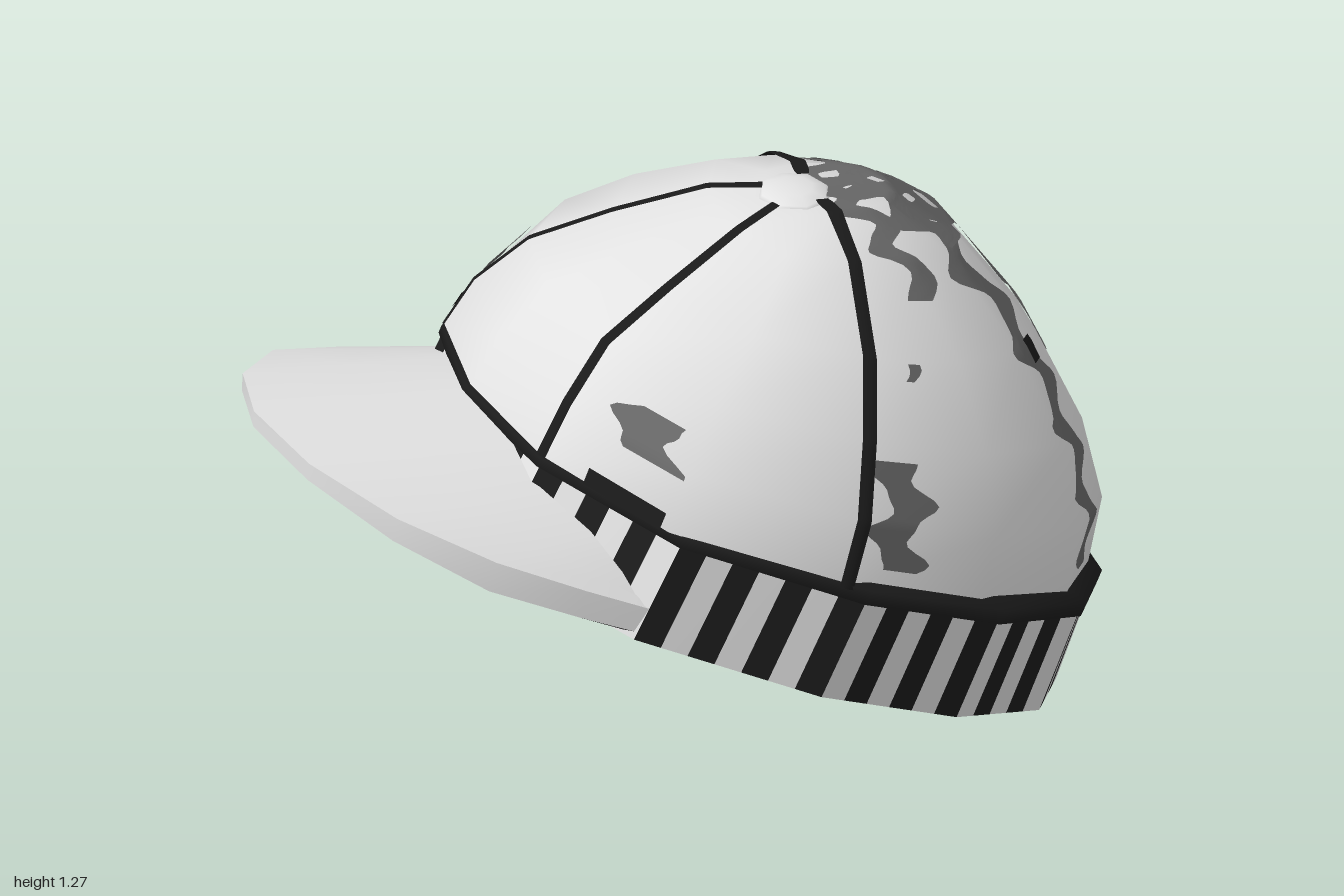
import * as THREE from 'three';
import { mergeVertices, mergeGeometries } from 'three/addons/utils/BufferGeometryUtils.js';

const mat = (name, color, side = THREE.FrontSide) => {
  const m = new THREE.MeshStandardMaterial({ color, side });
  m.name = name;
  return m;
};

// Surface from f(i, j) -> [x, y, z]; outward is (j direction) x (i direction)
function grid(nu, nv, f) {
  const pos = [], idx = [];
  for (let i = 0; i <= nu; i++) for (let j = 0; j <= nv; j++) pos.push(...f(i, j));
  for (let i = 0; i < nu; i++) for (let j = 0; j < nv; j++) {
    const a = i * (nv + 1) + j, b = a + nv + 1;
    idx.push(a, a + 1, b, b, a + 1, b + 1);
  }
  let g = new THREE.BufferGeometry();
  g.setAttribute('position', new THREE.Float32BufferAttribute(pos, 3));
  g.setIndex(idx);
  g = mergeVertices(g, 1e-5);
  g.computeVertexNormals();
  return g;
}

const lerp = THREE.MathUtils.lerp;

// Half outline of the head opening, back (0) to front (7), mirrored for 7..14
const HALF = [[1, 0], [0.99, 0.36], [0.83, 0.67], [0.48, 0.9], [0, 1], [-0.58, 0.88], [-0.91, 0.47], [-1, 0]];
const EDGE = [0.257, 0.25, 0.31, 0.38, 0.47, 0.38, 0.35];
const corner = (n) => {
  const k = ((n % 14) + 14) % 14;
  return k <= 7 ? HALF[k] : [HALF[14 - k][0], -HALF[14 - k][1]];
};
function outline(k) {
  const n = Math.floor(k), f = k - n, a = corner(n), b = corner(n + 1);
  return [lerp(a[0], b[0], f), lerp(a[1], b[1], f)];
}

// Crown rings: back x, back y, front x, front y, half width
const RINGS = [
  [0.77, 0.63, -0.785, 0.63, 0.712],
  [0.739, 0.81, -0.765, 0.76, 0.675],
  [0.623, 0.978, -0.698, 0.908, 0.595],
  [0.44, 1.149, -0.55, 1.045, 0.468],
  [0.2, 1.297, -0.373, 1.19, 0.28],
  [0.013, 1.345, -0.27, 1.245, 0.13],
  [-0.17, 1.287, -0.17, 1.287, 0],
];

// Point of one crown corner; side corners sit a little forward, the front panel narrows upwards
function crownCorner(k, j) {
  const [bx, by, fx, fy, w] = RINGS[j], [c, s] = corner(k), f = (c + 1) / 2;
  const narrow = c < -0.8 ? 1 - 0.06 * Math.max(0, j - 1) : 1;
  return new THREE.Vector3(lerp(fx, bx, f) - 0.05 * s * s * Math.min(1, w * 4), lerp(fy, by, f), w * s * narrow);
}
function crownAt(k, t, off = 0) {
  const n = Math.floor(k), m = Math.min(5, Math.floor(t));
  const row = (j) => crownCorner(n, j).lerp(crownCorner(n + 1, j), k - n);
  const p = row(m).lerp(row(m + 1), t - m);
  const dir = new THREE.Vector3(p.x / 0.6, (p.y - 0.6) / 0.55, p.z / 0.52).normalize();
  return p.addScaledVector(dir, off).toArray();
}
const widthAt = (t) => {
  const m = Math.min(5, Math.floor(t));
  return lerp(RINGS[m][4], RINGS[m + 1][4], t - m);
};

// Thin painted strip running up the crown, optionally wavy
function strip(k0, t0, t1, halfWidth, wave, off) {
  const steps = Math.max(2, Math.round((t1 - t0) * 14));
  const ak = Math.abs(k0);
  return grid(4, steps, (i, j) => {
    const t = lerp(t0, t1, j / steps);
    const unit = EDGE[Math.min(6, Math.floor(ak))] * Math.max(0.12, widthAt(t) / 0.715);
    const sway = wave * Math.sin(t * 7.8 + ak * 2);
    const width = halfWidth * (wave ? 0.9 + 0.2 * Math.sin(t * 15.6) : 1);
    const d = Math.max(-1, Math.min(1, (sway + width * (i / 2 - 1)) / unit));
    return crownAt(k0 + d, t, off);
  });
}

export function createModel() {
  const white = mat('white cloth', 0xe3e3e3);
  const black = mat('black cloth', 0x1c1c1c);
  const grey = mat('grey print', 0x686868, THREE.DoubleSide);
  const seamBlack = mat('black print', 0x1a1a1a, THREE.DoubleSide);
  const under = mat('dark underside', 0x111111, THREE.DoubleSide);

  const cap = new THREE.Group();
  cap.name = 'cap';
  const add = (name, geo, m) => {
    const mesh = new THREE.Mesh(geo, m);
    mesh.name = name;
    cap.add(mesh);
    return mesh;
  };

  // Crown
  add('crown', grid(14, 6, (i, j) => crownAt(i, j)), white);

  // Panel seams, wavy print and dark patches: [position, start, end, half width]
  const prints = [
    [1.68, 0.35, 5.9, 0.042], [3.72, 0.35, 1.8, 0.06], [3.65, 2.75, 2.95, 0.015],
    [3.1, 3.6, 5.9, 0.042], [1, 4, 5.9, 0.055], [5.36, 0.85, 1.5, 0.085],
  ];
  add('backPrint', strip(0, 0.25, 5.9, 0.042, 0.032, 0.007), grey);
  for (const s of [1, -1]) {
    add('sideSeam', strip(4 * s, 0, 5.5, 0.02, 0, 0.009), seamBlack);
    add('frontSeam', strip(6 * s, 0, 5.2, 0.014, 0, 0.005), seamBlack);
    for (const [k, a, b, w] of prints) add('wavyPrint', strip(k * s, a, b, w, 0.034, 0.007), grey);
    add('darkSpot', strip(1.66 * s, 2.8, 3.05, 0.022, 0, 0.012), seamBlack);
    add('darkPatch', strip(5.35 * s, 0, 0.28, 0.11, 0, 0.02), seamBlack);
  }

  // Striped head band
  const low = (k) => { const [c, s] = outline(k); return [0.805 * c, 0.35, 0.705 * s]; };
  const high = (k) => { const [c, s] = outline(k); return [0.79 * c, 0.615, 0.72 * s]; };
  const counts = [4, 4, 5, 6, 7, 6, 5];
  const stripes = [[], []];
  let n = 0;
  for (let e = 0; e < 14; e++) {
    const c = counts[e < 7 ? e : 13 - e];
    for (let q = 0; q < c; q++, n++)
      stripes[n % 2].push(grid(1, 1, (i, j) => (j ? high : low)(e + (q + i) / c)));
  }
  add('bandLightStripes', mergeGeometries(stripes[0]), white);
  add('bandDarkStripes', mergeGeometries(stripes[1]), black);
  add('bandBottom', grid(14, 1, (i, j) => (j ? low(i) : [0, 0.35, 0])), under);

  // Dark trim above the band, thinner towards the front and tucked into the crown
  const trim = [[0.99, 0.6], [1.008, 0.605], [1.008, 0.64], [0.93, 0.66]];
  add('bandTrim', grid(14, 3, (i, j) => {
    const [c, s] = outline(i), [r, y] = trim[j];
    return [0.793 * r * c, 0.6 + (y - 0.6) * lerp(0.55, 1, Math.min(1, c + 1)), 0.72 * r * s];
  }), black);

  // Brim: inner line on the crown and outer rim, centre to side
  const inner = [[-0.75, 0.63, 0], [-0.74, 0.61, 0.2], [-0.68, 0.57, 0.35], [-0.6, 0.53, 0.47], [-0.52, 0.485, 0.55], [-0.41, 0.437, 0.61]];
  const outer = [[-1.28, 0.443, 0], [-1.22, 0.438, 0.23], [-1.06, 0.433, 0.43], [-0.84, 0.43, 0.55], [-0.62, 0.432, 0.6], [-0.43, 0.435, 0.63]];
  const side = (list, i) => {
    const [x, y, z] = list[Math.abs(5 - i)];
    return [x, y, i <= 5 ? z : -z];
  };
  const rimLow = (i) => {
    const [x, , z] = side(outer, i);
    return [x + 0.015, 0.355 + 0.05 * Math.max(0, (-x - 0.9) / 0.38) + 0.04 * Math.max(0, x + 0.8), z * 0.99];
  };
  add('brimTop', grid(10, 2, (i, j) => {
    const a = side(outer, i), b = side(inner, i);
    return a.map((v, q) => lerp(v, b[q], j / 2));
  }), white);
  add('brimEdge', grid(10, 1, (i, j) => (j ? side(outer, i) : rimLow(i))), white);
  add('brimUnderside', grid(10, 1, (i, j) => {
    const p = rimLow(i);
    return j ? p : [-0.4, 0.355, p[2]];
  }), under);

  // Button on top
  const button = add('button', new THREE.SphereGeometry(0.1, 8, 3, 0, Math.PI * 2, 0, Math.PI / 2), white);
  button.scale.set(0.9, 0.27, 1);
  button.position.set(-0.2, 1.268, 0);
  button.rotation.z = 0.41;

  // The cap tips back onto the rear of its band
  cap.rotation.z = -0.4084;
  const model = new THREE.Group();
  model.name = 'baseballCap';
  model.add(cap);
  return model;
}
